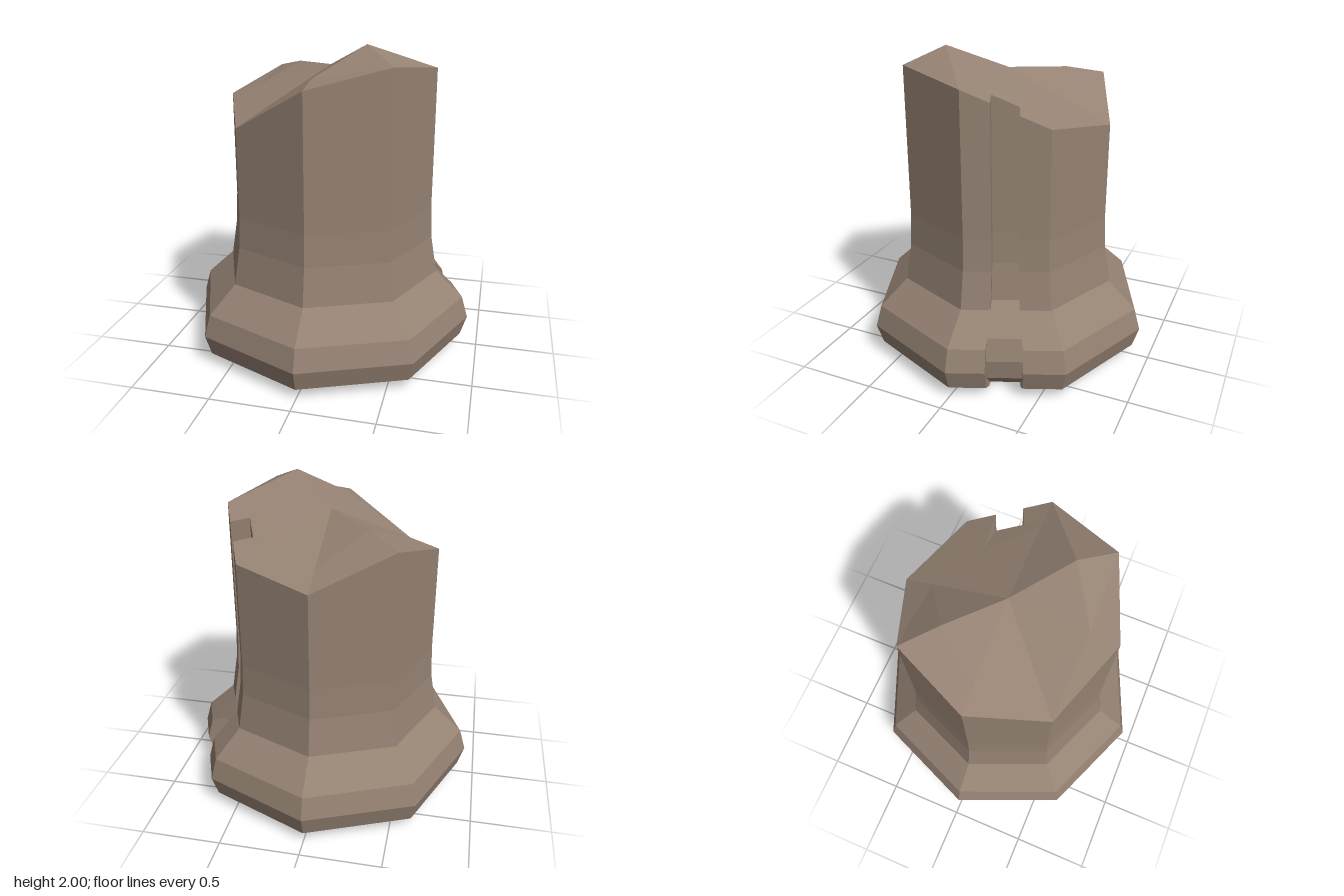
import * as THREE from 'three';

const SIDES = 8;
const angle = (i) => (i * Math.PI * 2) / SIDES;

// Point at a given corner direction, radius and height
const polar = (i, r, y) => new THREE.Vector3(Math.cos(angle(i)) * r, y, Math.sin(angle(i)) * r);

// One octagonal cross-section with a slot cut into the side between corners 7 and 0.
// Returns 12 points: corners 0-7, then slot edge, slot floor, slot floor, slot edge.
function section(radius, heights, depth) {
  const ring = heights.map((y, i) => polar(i, radius, y));
  const inward = polar(7.5, -depth, 0);
  const near = ring[7].clone().lerp(ring[0], 0.35);
  const far = ring[7].clone().lerp(ring[0], 0.67);
  const rise = new THREE.Vector3(0, heights[0] === heights[7] ? 0 : 0.018, 0);
  return [
    ...ring,
    near,
    near.clone().add(inward).add(rise),
    far.clone().add(inward).add(rise),
    far,
  ];
}

function flatMesh(name, triangles, material) {
  const geometry = new THREE.BufferGeometry().setFromPoints(triangles);
  geometry.computeVertexNormals();
  const mesh = new THREE.Mesh(geometry, material);
  mesh.name = name;
  return mesh;
}

export function createModel() {
  const group = new THREE.Group();
  group.name = 'brokenPillar';
  const stone = new THREE.MeshStandardMaterial({ color: 0x958273, flatShading: true });
  stone.name = 'brown stone';

  // Profile: height, radius, slot depth
  const profile = [
    [0.012, 0.78, 0.04],
    [0.07, 0.89, 0.1],
    [0.2, 0.93, 0.12],
    [0.34, 0.89, 0.12],
    [0.51, 0.71, 0.12],
    [0.75, 0.67, 0.12],
    [0.95, 0.66, 0.12],
  ];
  const rimHeights = [1.84, 1.9, 1.785, 1.51, 1.63, 1.76, 1.55, 1.62];
  const rows = profile.map(([y, r, d]) => section(r, Array(SIDES).fill(y), d));
  const rim = section(0.66, rimHeights.map((y) => y), 0.12);
  rows.push(rim);

  // Sides: flared foot and slotted shaft
  const bands = (from, to) => {
    const tris = [];
    for (let k = from; k < to; k++) {
      const a = rows[k];
      const b = rows[k + 1];
      for (let i = 0; i < a.length; i++) {
        const j = (i + 1) % a.length;
        tris.push(a[i], b[i], b[j], a[i], b[j], a[j]);
      }
    }
    return tris;
  };
  group.add(flatMesh('flaredFoot', bands(0, 4), stone));
  group.add(flatMesh('shaft', bands(4, rows.length - 1), stone));

  // Underside
  const under = [];
  const base = rows[0];
  base.forEach((p, i) => under.push(new THREE.Vector3(), p, base[(i + 1) % base.length]));
  group.add(flatMesh('underside', under, stone));

  // Broken top: centre, inner ring with one raised peak, then the uneven rim
  const centre = new THREE.Vector3(0, 1.84, 0);
  const innerHeights = [1.84, 2.0, 1.82, 1.645, 1.69, 1.815, 1.63, 1.71];
  const inner = innerHeights.map((y, i) => polar(i, i % 2 ? 0.396 : 0.48, y));
  const top = [];
  for (let i = 0; i < SIDES; i++) {
    const j = (i + 1) % SIDES;
    top.push(centre, inner[j], inner[i]);
    if (i === 7) continue;
    // The diagonal runs from the odd rim corner, except beside the peak
    if (i === 0 || i % 2 === 1) {
      top.push(inner[i], inner[j], rim[i], inner[j], rim[j], rim[i]);
    } else {
      top.push(inner[i], rim[j], rim[i], inner[i], inner[j], rim[j]);
    }
  }
  // Top surface around the slot
  const [edgeA, floorA, floorB, edgeB] = rim.slice(8);
  top.push(
    inner[0], rim[0], edgeB,
    inner[0], edgeB, floorB,
    inner[0], floorB, floorA,
    inner[0], floorA, inner[7],
    inner[7], floorA, edgeA,
    inner[7], edgeA, rim[7],
  );
  group.add(flatMesh('brokenTop', top, stone));

  return group;
}
